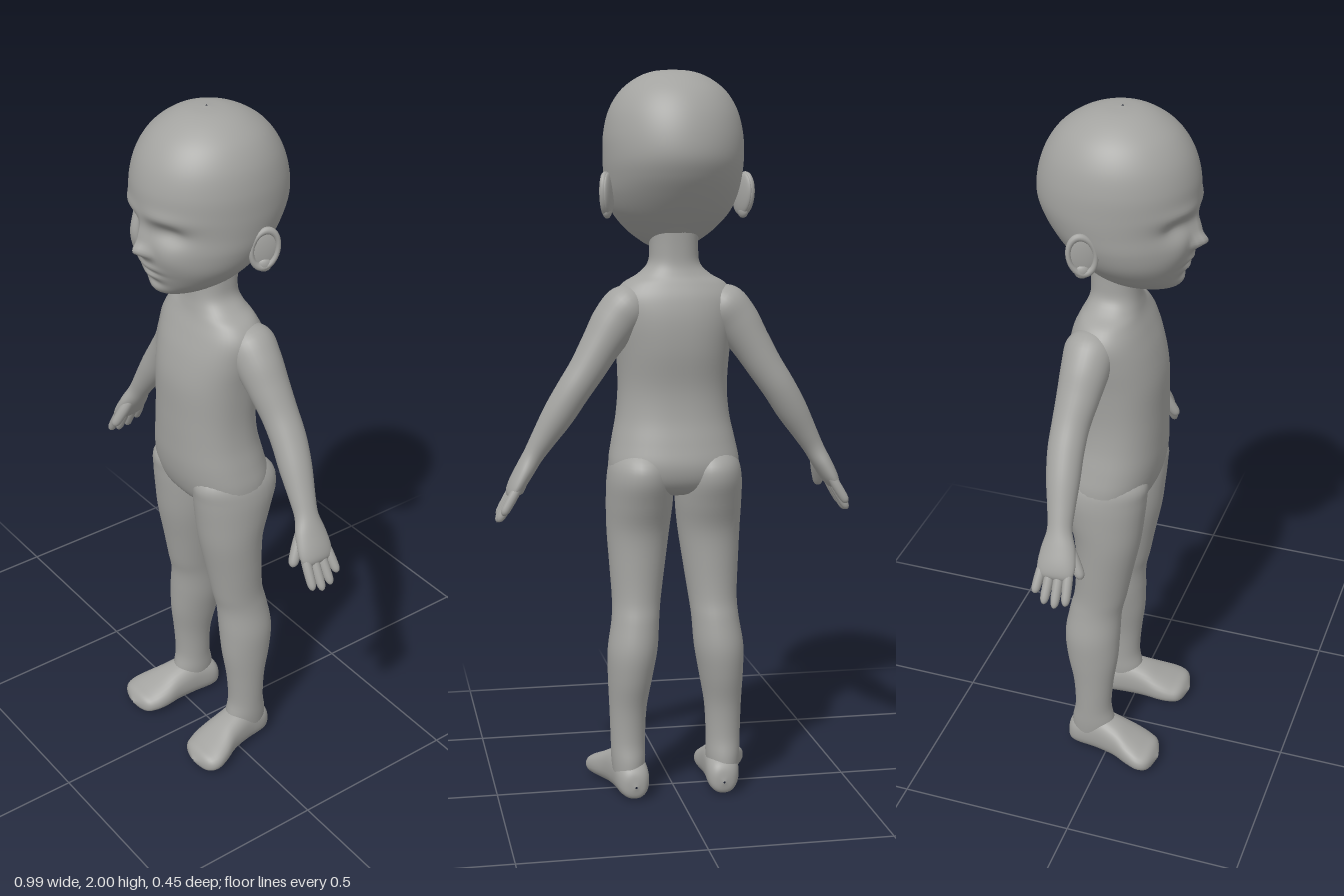
import * as THREE from 'three';

const clay = new THREE.MeshStandardMaterial({ color: 0xa3a3a0 });
clay.name = 'clay grey';

// Smooth tube through rows [x, y, z, radiusU, radiusV]; dir = fixed sweep direction (or null to follow the path)
function loft(name, rows, { dir = null, v = [0, 0, 1], sides = 32, steps = 5, square = 1, rule = null } = {}) {
  const centre = new THREE.CatmullRomCurve3(rows.map(r => new THREE.Vector3(r[0], r[1], r[2])), false, 'catmullrom');
  const radii = new THREE.CatmullRomCurve3(rows.map(r => new THREE.Vector3(r[3], r[4], 0)), false, 'catmullrom');
  const n = (rows.length - 1) * steps;
  const pos = [], index = [];
  const pow = s => Math.sign(s) * Math.pow(Math.abs(s), square);
  for (let j = 0; j <= n; j++) {
    const t = j / n, c = centre.getPoint(t), r = radii.getPoint(t);
    const d = dir ? new THREE.Vector3(...dir) : centre.getTangent(t);
    const U = new THREE.Vector3(...v).cross(d).normalize();
    const V = d.clone().cross(U).normalize();
    for (let i = 0; i < sides; i++) {
      const a = i / sides * Math.PI * 2;
      const p = c.clone()
        .addScaledVector(U, Math.max(r.x, 0.0005) * pow(Math.cos(a)))
        .addScaledVector(V, Math.max(r.y, 0.0005) * pow(Math.sin(a)));
      if (rule) rule(p);
      pos.push(p.x, p.y, p.z);
      if (j < n) {
        const k = j * sides + i, l = j * sides + (i + 1) % sides;
        index.push(k, l, k + sides, l, l + sides, k + sides);
      }
    }
  }
  const g = new THREE.BufferGeometry();
  g.setAttribute('position', new THREE.Float32BufferAttribute(pos, 3));
  g.setIndex(index);
  g.computeVertexNormals();
  const mesh = new THREE.Mesh(g, clay);
  mesh.name = name;
  return mesh;
}

const DOWN = [0, -1, 0];
// Row given by height, front z, back z and half width
const slice = ([y, front, back, rx, x = 0]) => [x, y, (front + back) / 2, rx, (front - back) / 2];
const bump = (p, x, y, sx, sy) => Math.exp(-(((p.x - x) / sx) ** 2) - ((p.y - y) / sy) ** 2);

// Soft face relief: sockets, brow, nose, lips and cheeks
function faceRelief(p) {
  if (p.z < 0.03) return;
  const w = Math.min(1, (p.z - 0.03) / 0.06), ax = { x: Math.abs(p.x), y: p.y };
  p.z += w * (
    -0.022 * bump(ax, 0.075, 1.725, 0.045, 0.026)
    + 0.007 * bump(ax, 0.075, 1.765, 0.06, 0.02)
    + 0.007 * bump(ax, 0.085, 1.655, 0.045, 0.04)
    + 0.03 * bump(p, 0, 1.664, 0.021, 0.02)
    + 0.016 * bump(p, 0, 1.7, 0.017, 0.035)
    + 0.008 * bump(ax, 0.022, 1.657, 0.012, 0.012)
    + 0.007 * bump(p, 0, 1.615, 0.04, 0.009)
    - 0.005 * bump(p, 0, 1.6, 0.045, 0.005)
    + 0.006 * bump(p, 0, 1.587, 0.032, 0.009)
    - 0.005 * bump(p, 0, 1.568, 0.035, 0.01)
    + 0.005 * bump(p, 0, 1.543, 0.04, 0.014));
}

function buildHead() {
  return loft('head', [
    [2.0, 0.003, -0.003, 0.003], [1.994, 0.055, -0.06, 0.057], [1.975, 0.102, -0.112, 0.103],
    [1.94, 0.148, -0.16, 0.145], [1.89, 0.182, -0.195, 0.174], [1.83, 0.2, -0.216, 0.188],
    [1.77, 0.202, -0.221, 0.19], [1.72, 0.196, -0.204, 0.187], [1.67, 0.194, -0.172, 0.18],
    [1.62, 0.186, -0.132, 0.16], [1.575, 0.172, -0.09, 0.122], [1.545, 0.161, -0.062, 0.083],
    [1.528, 0.145, -0.04, 0.054], [1.52, 0.11, 0, 0.02], [1.52, 0.062, 0.058, 0.002],
  ].map(slice), { dir: DOWN, sides: 96, steps: 8, rule: faceRelief });
}

function buildTorso() {
  return loft('torso', [
    [1.6, 0.045, -0.085, 0.068], [1.53, 0.045, -0.082, 0.066], [1.485, 0.048, -0.083, 0.071],
    [1.455, 0.054, -0.092, 0.1], [1.43, 0.062, -0.105, 0.142], [1.39, 0.08, -0.122, 0.168],
    [1.33, 0.103, -0.132, 0.166], [1.25, 0.12, -0.13, 0.156], [1.15, 0.122, -0.116, 0.151],
    [1.07, 0.122, -0.12, 0.157], [1.0, 0.12, -0.136, 0.171], [0.94, 0.11, -0.148, 0.181],
    [0.89, 0.09, -0.135, 0.174], [0.86, 0.055, -0.1, 0.12], [0.845, -0.01, -0.04, 0.02],
  ].map(slice), { dir: DOWN, sides: 48, square: 0.88 });
}

// Left-hand limb set, mirrored for the right
function buildLeg() {
  const leg = new THREE.Group();
  leg.add(loft('legShape', [
    [1.0, 0.06, -0.08, 0.05, 0.09], [0.95, 0.1, -0.142, 0.08, 0.095], [0.9, 0.1, -0.154, 0.091, 0.096],
    [0.83, 0.093, -0.132, 0.092, 0.097], [0.75, 0.083, -0.106, 0.087, 0.1], [0.65, 0.063, -0.102, 0.077, 0.104],
    [0.56, 0.046, -0.106, 0.068, 0.108], [0.5, 0.033, -0.119, 0.066, 0.113], [0.42, 0.03, -0.131, 0.069, 0.122],
    [0.34, 0.026, -0.123, 0.062, 0.129], [0.25, 0.014, -0.104, 0.052, 0.135], [0.16, 0.008, -0.1, 0.048, 0.136],
    [0.1, 0.018, -0.11, 0.047, 0.135], [0.04, 0.01, -0.11, 0.04, 0.135],
  ].map(slice), { dir: DOWN }));
  leg.add(loft('foot', [
    [0.125, 0.04, -0.126, 0.003, 0.003], [0.126, 0.044, -0.117, 0.03, 0.036], [0.128, 0.052, -0.09, 0.045, 0.05],
    [0.134, 0.062, -0.03, 0.049, 0.062], [0.142, 0.055, 0.03, 0.056, 0.055], [0.152, 0.043, 0.08, 0.07, 0.043],
    [0.16, 0.034, 0.12, 0.072, 0.034], [0.161, 0.03, 0.148, 0.055, 0.026], [0.16, 0.028, 0.165, 0.003, 0.003],
  ], { dir: [0, 0, 1], v: [0, 1, 0], square: 0.85, rule: p => { p.y = Math.max(p.y, 0); } }));
  return leg;
}

// Rounded finger between two points
function finger(name, a, b, r) {
  const at = (t, k) => [0, 1, 2].map(i => a[i] + (b[i] - a[i]) * t).concat(r * k, r * k);
  return loft(name, [at(0, 0.9), at(0.3, 1), at(0.6, 0.97), at(0.85, 0.85), at(0.96, 0.5), at(1, 0.02)], { sides: 14, steps: 3 });
}

function buildArm() {
  const arm = new THREE.Group();
  arm.add(loft('armShape', [
    [0.085, 1.405, -0.045, 0.02, 0.035], [0.125, 1.375, -0.045, 0.062, 0.066], [0.165, 1.33, -0.047, 0.064, 0.065],
    [0.205, 1.27, -0.053, 0.055, 0.058], [0.245, 1.205, -0.06, 0.049, 0.051], [0.285, 1.145, -0.061, 0.046, 0.049],
    [0.325, 1.08, -0.055, 0.043, 0.045], [0.365, 1.015, -0.047, 0.034, 0.037], [0.392, 0.97, -0.042, 0.028, 0.034],
    [0.415, 0.93, -0.038, 0.026, 0.046], [0.438, 0.89, -0.036, 0.023, 0.052], [0.452, 0.865, -0.036, 0.016, 0.047],
    [0.458, 0.852, -0.036, 0.002, 0.03],
  ]));
  [[-0.073, -0.084, 0.815], [-0.049, -0.056, 0.792], [-0.025, -0.026, 0.786], [-0.001, 0.004, 0.797]].forEach(([z0, z1, y], i) =>
    arm.add(finger('finger' + (i + 1), [0.437, 0.888, z0], [0.492 - (y - 0.786) * 0.4, y, z1], 0.0135)));
  arm.add(finger('thumb', [0.405, 0.935, -0.015], [0.428, 0.85, 0.03], 0.016));
  return arm;
}

function buildEar() {
  const ear = new THREE.Group();
  const part = (name, geo, scale, position) => {
    const m = new THREE.Mesh(geo, clay);
    m.name = name;
    m.scale.set(...scale);
    m.position.set(...position);
    ear.add(m);
  };
  part('earBowl', new THREE.SphereGeometry(1, 24, 16), [0.04, 0.058, 0.012], [0, 0, -0.004]);
  part('earRim', new THREE.TorusGeometry(1, 0.2, 12, 36), [0.034, 0.051, 0.045], [0, 0, 0.003]);
  part('earLobe', new THREE.SphereGeometry(1, 16, 12), [0.02, 0.02, 0.012], [0.008, -0.044, 0]);
  // Face outward and slightly forward, top leaning back
  ear.rotation.set(0, Math.PI / 2 - 0.42, -0.18, 'YXZ');
  ear.position.set(0.186, 1.67, -0.045);
  return ear;
}

export function createModel() {
  const model = new THREE.Group();
  model.name = 'mannequin';
  model.add(buildHead(), buildTorso());
  for (const [side, s] of [['left', 1], ['right', -1]]) {
    for (const [part, build] of [['Leg', buildLeg], ['Arm', buildArm], ['Ear', buildEar]]) {
      const holder = new THREE.Group();
      holder.name = side + part;
      holder.scale.x = s;
      holder.add(build());
      model.add(holder);
    }
  }
  return model;
}
